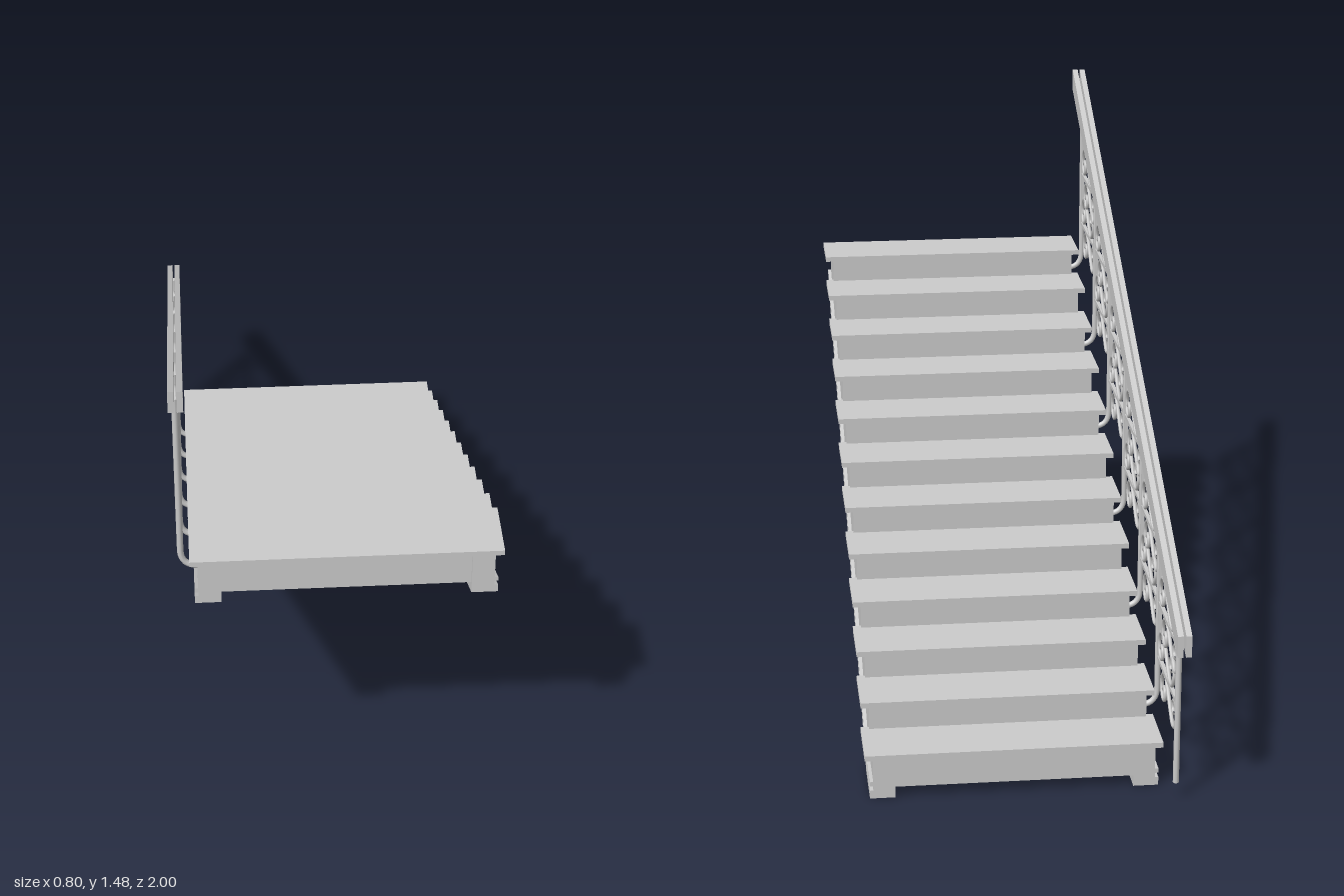
import * as THREE from 'three';

const STEPS = 12, RUN = 0.1515, RISE = 0.0763, TREAD = 0.014;
const BACK = -0.84, FRONT = 0.99, NOSING = 0.007;
const RAIL_X = -0.386;

const grey = new THREE.MeshStandardMaterial({ color: 0xcccccc });

function add(parent, name, geometry, x = 0, y = 0, z = 0) {
  const mesh = new THREE.Mesh(geometry, grey);
  mesh.name = name;
  mesh.position.set(x, y, z);
  parent.add(mesh);
  return mesh;
}

// Extrudes a [z, y] outline from x0 to x1
function extrudeX(points, x0, x1) {
  const shape = new THREE.Shape(points.map(([z, y]) => new THREE.Vector2(z, y)));
  const geometry = new THREE.ExtrudeGeometry(shape, { depth: x1 - x0, bevelEnabled: false });
  return geometry.rotateY(-Math.PI / 2).translate(x1, 0, 0);
}

// Box given by its lower and upper limits
function block(parent, name, [x0, x1], [y0, y1], [z0, z1]) {
  return add(parent, name, new THREE.BoxGeometry(x1 - x0, y1 - y0, z1 - z0),
    (x0 + x1) / 2, (y0 + y1) / 2, (z0 + z1) / 2);
}

const treadTop = (i) => 0.122 + i * RISE;
const riserZ = (i) => BACK + NOSING + i * RUN;

// Underside line of the stringers, raised by d
const underside = (d) => [[FRONT, 0.83 + d], [-0.53, 0.08 + d], [-0.68, d], [riserZ(0), d]];
const strip = (d0, d1) => [...underside(d0), ...underside(d1).reverse()];

function stringerOutline() {
  const points = [];
  let y = 0;
  for (let i = 0; i < STEPS; i++) {
    points.push([riserZ(i), y]);
    y = treadTop(i) - TREAD;
    points.push([riserZ(i), y]);
  }
  return [...points, [FRONT, y], ...underside(0).slice(0, 3)];
}

function buildStairs() {
  const stairs = new THREE.Group();
  stairs.name = 'stairs';
  const inner = [-0.292, 0.325];
  for (let i = 0; i < STEPS; i++) {
    const z = BACK + i * RUN, top = treadTop(i);
    block(stairs, 'tread', [-0.365, 0.4], [top - TREAD, top], [z, Math.min(z + RUN + 0.02, FRONT + 0.003)]);
    // Solid step, so the underside is stepped as well; the two lowest are closed by the soffit
    const end = Math.min(riserZ(i + 1), 0.98);
    const outline = i > 1
      ? [[riserZ(i), top - 0.107], [end, top - 0.107]]
      : [[riserZ(i), 0.03], [end, i ? 0.092 : 0.03]];
    add(stairs, i > 1 ? 'step' : 'lowStep', extrudeX(
      [...outline, [end, top - TREAD], [riserZ(i), top - TREAD]], ...inner));
  }
  // Sawtooth stringers with two raised mouldings on the outer face
  const outline = stringerOutline();
  for (const side of [-1, 1]) {
    const at = (a, b) => [0.0165 + side * a, 0.0165 + side * b].sort((p, q) => p - q);
    add(stairs, 'stringer', extrudeX(outline, ...at(0.306, 0.362)));
    add(stairs, 'lowerMoulding', extrudeX(strip(0, 0.022), ...at(0.306, 0.371)));
    add(stairs, 'upperMoulding', extrudeX(strip(0.034, 0.046), ...at(0.306, 0.371)));
  }
  return stairs;
}

// S-shaped scroll in the z-y plane, symmetric about its centre
function scrollGeometry() {
  const half = [[-0.027, 0.022], [-0.058, 0.041], [-0.092, 0.033], [-0.112, 0.004], [-0.104, -0.026],
    [-0.082, -0.037], [-0.06, -0.026], [-0.058, -0.006], [-0.073, 0.003], [-0.085, -0.008]];
  const points = [
    ...half.slice().reverse(), [0, 0], ...half.map(([u, v]) => [-u, -v]),
  ].map(([u, v]) => new THREE.Vector3(0, v, -u));
  return new THREE.TubeGeometry(new THREE.CatmullRomCurve3(points), 72, 0.0053, 6);
}

function buildRailing() {
  const railing = new THREE.Group();
  railing.name = 'railing';
  const railBottom = (z) => 0.43 + (z + 1) * 0.495;

  // Handrail of two parallel boards
  const profile = [[-1, 0.43], [1, 1.42], [1, 1.48], [-1, 0.487]];
  add(railing, 'handrailBoard', extrudeX(profile, -0.402, -0.387));
  add(railing, 'handrailBoard', extrudeX(profile, -0.381, -0.366));

  // Posts, bent inward at the foot to meet the stringer
  const postZ = (k) => 0.91 - k * 0.3035;
  for (let k = 0; k < 7; k++) {
    const z = postZ(k), top = railBottom(z) + 0.02;
    const foot = k < 6 ? 0.935 - k * 0.1526 : 0.045;
    add(railing, 'post', new THREE.CylinderGeometry(0.008, 0.008, top - foot, 8),
      RAIL_X, (top + foot) / 2, z);
    if (k < 6) {
      const bend = new THREE.CubicBezierCurve3(
        new THREE.Vector3(RAIL_X, foot, z), new THREE.Vector3(RAIL_X, foot - 0.035, z),
        new THREE.Vector3(-0.372, foot - 0.05, z), new THREE.Vector3(-0.34, foot - 0.052, z));
      add(railing, 'postFoot', new THREE.TubeGeometry(bend, 10, 0.008, 8));
    }
  }

  // Panels: two bars, each with a scroll above and a scroll below
  const scroll = scrollGeometry();
  const xs = [RAIL_X - 0.005, RAIL_X + 0.005];
  for (let k = 0; k < 6; k++) {
    const panel = new THREE.Group();
    panel.name = 'panel';
    railing.add(panel);
    const z0 = postZ(k + 1), z1 = postZ(k) - 0.016;
    const upper = 1.18 - k * 0.1526, lower = upper - 0.1526;
    block(panel, 'sideBar', xs, [lower - 0.005, upper + 0.15], [z1 - 0.005, z1 + 0.005]);
    block(panel, 'endBar', xs, [lower - 0.005, upper + 0.005], [z0 + 0.01, z0 + 0.018]);
    for (const y of [upper, lower]) {
      block(panel, 'crossBar', xs, [y - 0.005, y + 0.005], [z0, z1]);
      add(panel, 'scroll', scroll, RAIL_X, y + 0.047, z1 - 0.117);
      add(panel, 'scroll', scroll, RAIL_X, y - 0.047, z0 + 0.122);
    }
  }
  return railing;
}

export function createModel() {
  const model = new THREE.Group();
  model.name = 'staircase';
  model.add(buildStairs(), buildRailing());
  return model;
}
